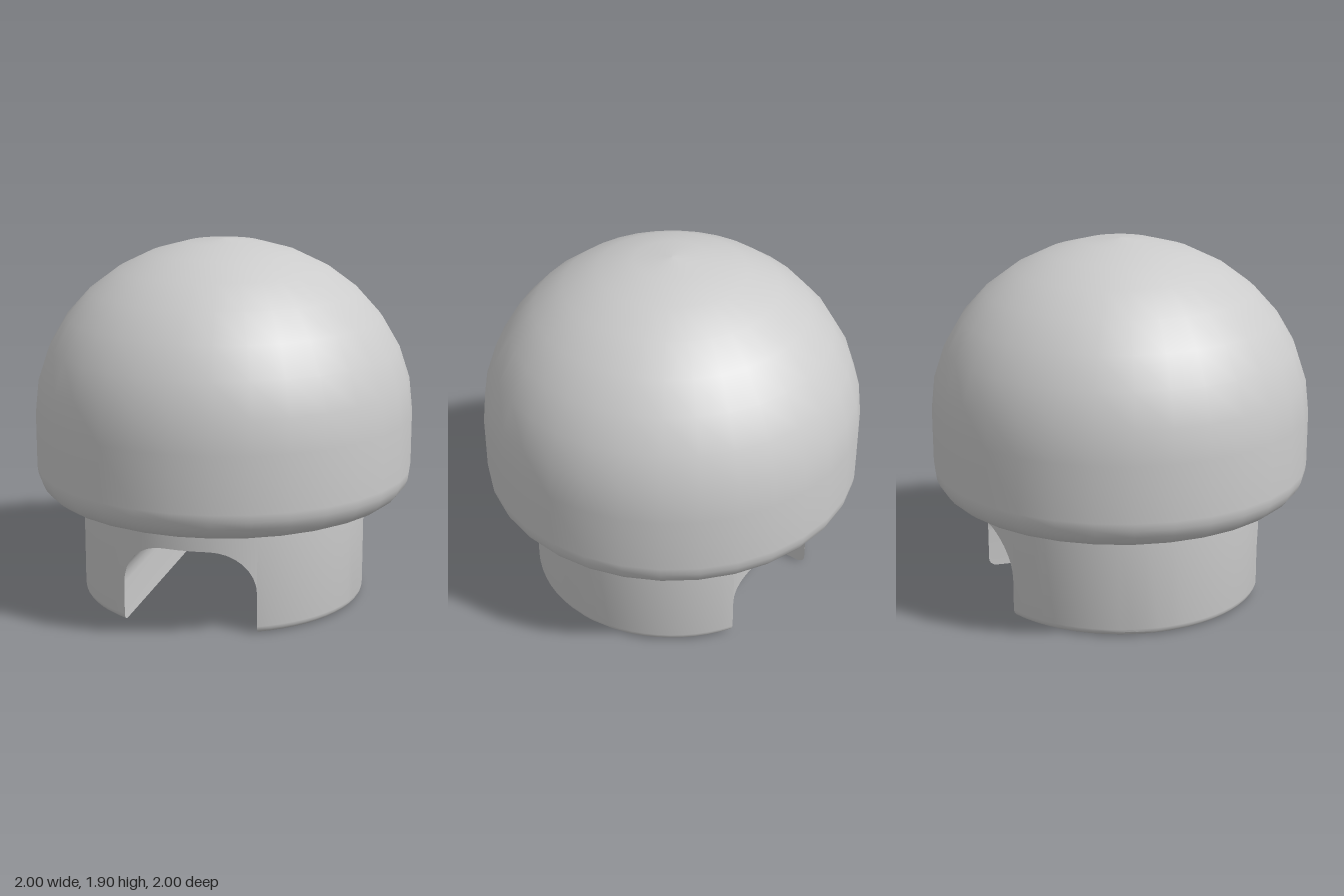
import * as THREE from 'three';
import { toCreasedNormals } from 'three/addons/utils/BufferGeometryUtils.js';

const R = 0.755, SLOT = 0.35, ARCH = 0.23, ARCH_Y = 0.21; // stem radius, slot half width, arch fillet
const RIM = 0.04, TOP = 0.55, STEPS = 4;

// Cross-section of the stem at x: front wall down, rounded rim, back wall up
function section(x, floor) {
  const ax = Math.min(Math.abs(x), R);
  const half = [[TOP, Math.sqrt(Math.max(0, R * R - ax * ax))]];
  for (let k = 0; k <= STEPS; k++) {
    if (floor > 0) { half.push([floor, half[0][1]]); continue; }
    const a = (k / STEPS) * Math.PI / 2;
    const r = Math.max(R - RIM + RIM * Math.cos(a), ax);
    const c = Math.min(1, (r - R + RIM) / RIM);
    const y = r > R - RIM ? RIM * (1 - Math.sqrt(Math.max(0, 1 - c * c))) : 0;
    half.push([y, Math.sqrt(Math.max(0, r * r - ax * ax))]);
  }
  const back = half.slice().reverse().map(([y, z]) => [y, -z]);
  return [...half, ...back].map(([y, z]) => new THREE.Vector3(x, y, z));
}

function stemGeometry() {
  // Stations [x, floor height] from the middle of the slot outwards
  const right = [[0.04, ARCH_Y + ARCH]];
  for (let i = 0; i <= 8; i++) {
    const a = (1 - i / 8) * Math.PI / 2;
    right.push([SLOT - ARCH + ARCH * Math.cos(a), ARCH_Y + ARCH * Math.sin(a)]);
  }
  const start = Math.acos(SLOT / R);
  for (let i = 0; i <= 12; i++) right.push([R * Math.cos(start * (1 - i / 12)), 0]);
  const stations = [...right.slice().reverse().map(([x, y]) => [-x, y]), ...right];
  const loops = stations.map(([x, y]) => section(x, y));

  const pos = [], tri = new THREE.Triangle();
  const add = (a, b, c) => {
    if (tri.set(a, b, c).getArea() > 1e-7) pos.push(...a, ...b, ...c);
  };
  for (let i = 0; i < loops.length - 1; i++) {
    const p = loops[i], q = loops[i + 1];
    for (let j = 0; j < p.length - 1; j++) {
      add(p[j], p[j + 1], q[j + 1]);
      add(p[j], q[j + 1], q[j]);
    }
  }
  const geo = new THREE.BufferGeometry();
  geo.setAttribute('position', new THREE.Float32BufferAttribute(pos, 3));
  return toCreasedNormals(geo, 0.7);
}

function headGeometry() {
  // Flat underside, rounded lower edge, short straight band, elliptical dome
  const pts = [new THREE.Vector2(0, TOP), new THREE.Vector2(0.8, TOP)];
  for (let i = 0; i <= 6; i++) {
    const a = (i / 6) * Math.PI / 2;
    pts.push(new THREE.Vector2(0.84 + 0.16 * Math.sin(a), 0.71 - 0.16 * Math.cos(a)));
  }
  for (let i = 0; i <= 8; i++) {
    const a = (i / 8) * Math.PI / 2;
    pts.push(new THREE.Vector2(i === 8 ? 0 : Math.cos(a), 1 + 0.905 * Math.sin(a)));
  }
  return new THREE.LatheGeometry(pts, 32);
}

export function createModel() {
  const group = new THREE.Group();
  const material = new THREE.MeshStandardMaterial({ color: 0xcccccc });
  const add = (name, geometry) => {
    const mesh = new THREE.Mesh(geometry, material);
    mesh.name = name;
    group.add(mesh);
  };
  add('domedHead', headGeometry());
  add('slottedStem', stemGeometry());
  return group;
}
